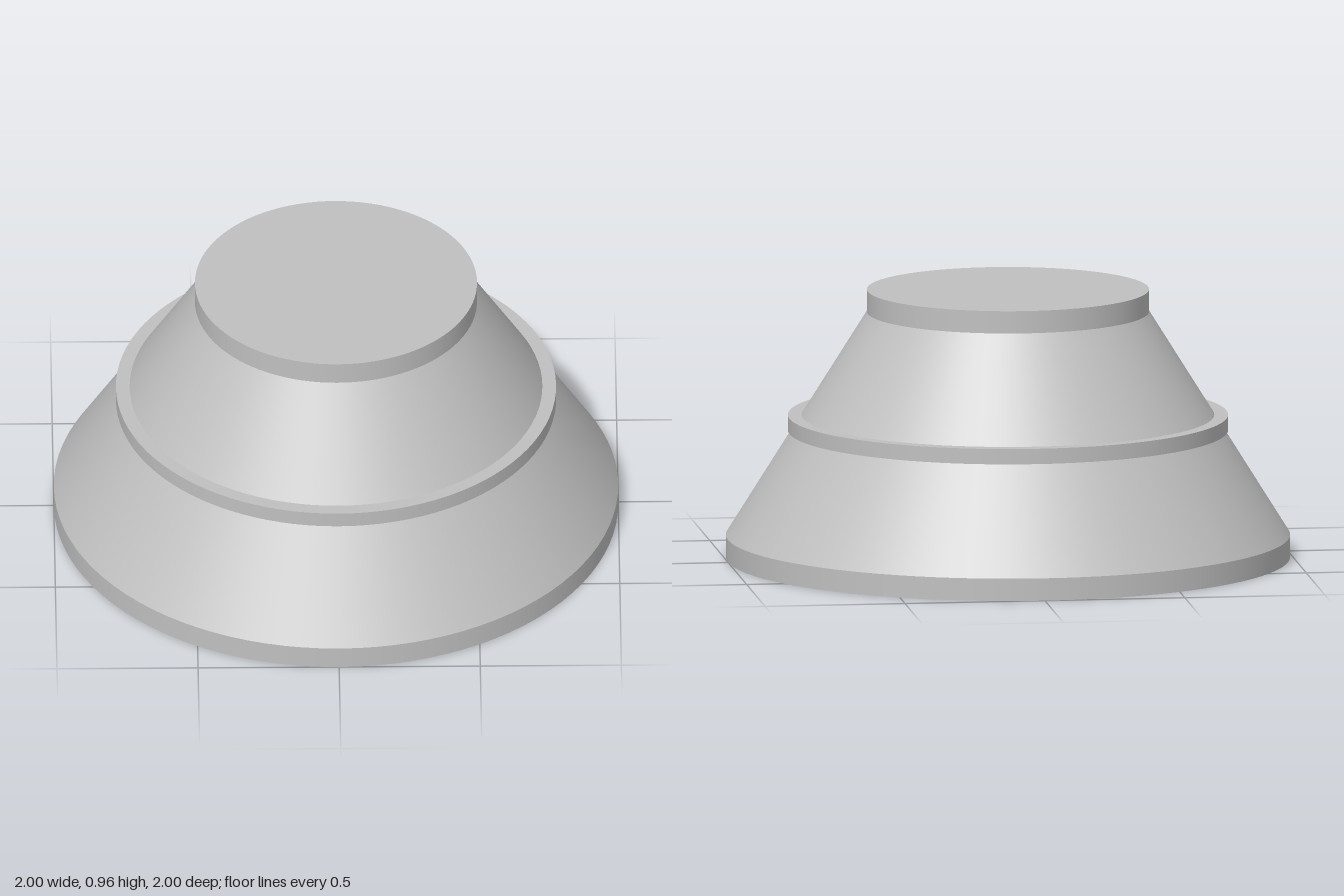
import * as THREE from 'three';

export function createModel() {
  const model = new THREE.Group();
  model.name = 'steppedCone';
  const grey = new THREE.MeshStandardMaterial({ color: 0xc0c0c0 });
  grey.name = 'light grey';

  // Round section between two heights; smooth sides, sharp rims
  function section(name, rBottom, rTop, y0, y1, open) {
    const geometry = new THREE.CylinderGeometry(rTop, rBottom, y1 - y0, 96, 1, open);
    const mesh = new THREE.Mesh(geometry, grey);
    mesh.name = name;
    mesh.position.y = (y0 + y1) / 2;
    model.add(mesh);
  }

  // Radius of the sloping wall at a given height
  const wall = (y) => 1 - 0.5 * (y - 0.08) / 0.8;

  // Flat base rim
  section('baseRim', 1, 1, 0, 0.08, false);
  // Sloping body, interrupted by the collar
  section('lowerCone', 1, wall(0.455), 0.08, 0.455, true);
  section('collar', 0.78, 0.78, 0.455, 0.51, false);
  section('upperCone', wall(0.51), 0.5, 0.51, 0.88, true);
  // Straight cap on top
  section('topCap', 0.5, 0.5, 0.88, 0.96, false);

  return model;
}
